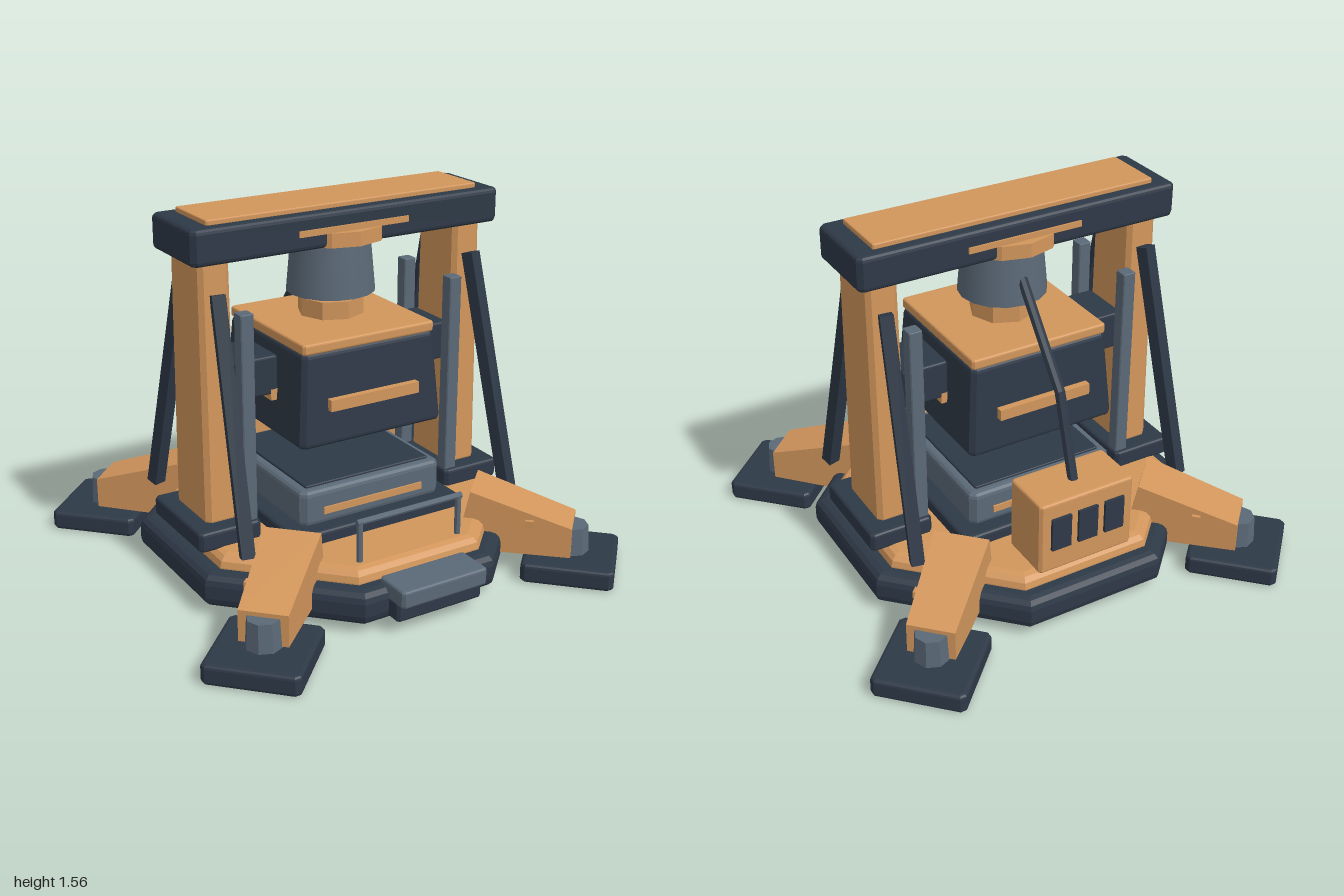
import * as THREE from 'three';

const paint = (name, color) => {
  const m = new THREE.MeshStandardMaterial({ color });
  m.name = name;
  return m;
};

// Block with cut vertical corners and eased top and bottom edges, centred on its own middle
function block(w, h, d, bevel = 0.012, cut = bevel) {
  const x = w / 2 - bevel, y = d / 2 - bevel, c = Math.max(cut - bevel * 0.586, 0.002);
  const pts = [[x, -y + c], [x, y - c], [x - c, y], [-x + c, y], [-x, y - c], [-x, -y + c], [-x + c, -y], [x - c, -y]];
  const shape = new THREE.Shape(pts.map(p => new THREE.Vector2(...p)));
  const g = new THREE.ExtrudeGeometry(shape, {
    depth: h - 2 * bevel, bevelEnabled: true, bevelSize: bevel, bevelThickness: bevel, bevelSegments: 3,
  });
  return g.translate(0, 0, bevel - h / 2).rotateX(-Math.PI / 2);
}

// Narrow a geometry towards its top
function taper(g, h, topX, topZ) {
  const p = g.attributes.position;
  for (let i = 0; i < p.count; i++) {
    const t = p.getY(i) / h + 0.5;
    p.setX(i, p.getX(i) * (1 + (topX - 1) * t));
    p.setZ(i, p.getZ(i) * (1 + (topZ - 1) * t));
  }
  g.computeVertexNormals();
  return g;
}

const drum = (top, bottom, h, sides) => new THREE.CylinderGeometry(top, bottom, h, sides).toNonIndexed();

// Outrigger arm: side profile along +x, wider at the inner end
function outriggerArm() {
  const shape = new THREE.Shape([
    [0.58, 0.09], [1.055, 0.09], [1.055, 0.222], [0.628, 0.355], [0.6, 0.22],
  ].map(p => new THREE.Vector2(...p)));
  const g = new THREE.ExtrudeGeometry(shape, { depth: 1, bevelEnabled: false }).translate(0, 0, -0.5);
  const p = g.attributes.position;
  for (let i = 0; i < p.count; i++) {
    const t = (p.getX(i) - 0.6) / 0.455;
    p.setZ(i, p.getZ(i) * (0.235 - 0.037 * t));
  }
  g.computeVertexNormals();
  return g;
}

export function createModel() {
  const orange = paint('orange paint', 0xd2965c);
  const dark = paint('dark steel', 0x2e3947);
  const gray = paint('gray steel', 0x5b6977);

  const model = new THREE.Group();
  model.name = 'hydraulicPress';

  const add = (name, geo, mat, x, y, z, parent = model) => {
    const m = new THREE.Mesh(geo, mat);
    m.name = name;
    m.position.set(x, y, z);
    parent.add(m);
    return m;
  };
  const facet = (name, geo, mat, x, y, z, parent) => {
    geo.computeVertexNormals();
    return add(name, geo, mat, x, y, z, parent);
  };
  // Straight bar between two points
  const bar = (name, a, b, w, mat, sides = 4) => {
    const A = new THREE.Vector3(...a), B = new THREE.Vector3(...b);
    const dir = B.clone().sub(A);
    const r = sides === 4 ? w / Math.SQRT2 : w / 2;
    const geo = drum(r, r, dir.length(), sides);
    if (sides === 4) geo.rotateY(Math.PI / 4);
    const m = facet(name, geo, mat, ...A.add(B).multiplyScalar(0.5).toArray());
    m.quaternion.setFromUnitVectors(new THREE.Vector3(0, 1, 0), dir.normalize());
  };

  // Octagonal base and deck
  add('base', block(1.54, 0.145, 1.54, 0.045, 0.46), dark, 0, 0.1075, 0);
  add('deck', block(1.38, 0.12, 1.38, 0.05, 0.4), orange, 0, 0.175, 0);

  // Press bed
  add('bedPlate', block(0.81, 0.075, 0.81, 0.015), dark, 0, 0.25, 0);
  add('anvil', block(0.68, 0.16, 0.68, 0.025), gray, 0, 0.36, 0);
  add('anvilTop', block(0.6, 0.02, 0.6, 0.006), dark, 0, 0.44, 0);
  for (const s of [1, -1]) add('anvilStripe', new THREE.BoxGeometry(0.48, 0.03, 0.012), orange, 0, 0.345, s * 0.342);

  // Ram head with a trim stripe on every side
  add('ramHead', taper(block(0.68, 0.39, 0.68, 0.02), 0.39, 0.91, 0.91), dark, 0, 0.82, 0);
  add('ramCap', block(0.62, 0.045, 0.62, 0.01), orange, 0, 1.033, 0);
  for (let i = 0; i < 4; i++) {
    const side = new THREE.Group();
    side.name = 'ramTrim';
    side.rotation.y = i * Math.PI / 2;
    model.add(side);
    add('ramStripe', new THREE.BoxGeometry(i % 2 ? 0.24 : 0.42, 0.048, 0.04), orange, 0, 0.798, 0.334, side);
  }

  // Hydraulic cylinder, rod and collars
  facet('rod', drum(0.08, 0.08, 0.14, 12), gray, 0, 1.11, 0);
  facet('rodNut', drum(0.14, 0.14, 0.075, 8), orange, 0, 1.105, 0);
  add('cylinder', new THREE.CylinderGeometry(0.165, 0.187, 0.24, 16), gray, 0, 1.285, 0);
  facet('cylinderFlange', drum(0.23, 0.23, 0.06, 12), orange, 0, 1.425, 0);

  // Crossbeam
  add('crossbeam', block(1.43, 0.147, 0.37, 0.02), dark, 0, 1.467, 0);
  add('beamTopPlate', block(1.26, 0.025, 0.27, 0.006), orange, 0, 1.549, 0);
  for (const s of [1, -1]) add('beamStripe', new THREE.BoxGeometry(0.51, 0.025, 0.012), orange, 0, 1.467, s * 0.187);

  // Columns, guide rails and braces
  for (const s of [1, -1]) {
    add('columnFoot', block(0.28, 0.085, 0.44, 0.015), dark, s * 0.6, 0.267, 0);
    add('column', taper(block(0.145, 1.1, 0.29, 0.015, 0.02), 1.1, 0.92, 0.9), orange, s * 0.597, 0.85, 0);
    add('guideShoe', block(0.2, 0.165, 0.24, 0.01), dark, s * 0.42, 0.883, 0);
    for (const f of [1, -1]) {
      add('guideRail', block(0.058, 0.9, 0.06, 0.004), gray, s * 0.497, 0.735, f * 0.17);
      bar('brace', [s * 0.6, 1.27, f * 0.155], [s * 0.637, 0.275, f * 0.425], 0.055, dark);
    }
  }

  // Control box with rear vents and hose
  add('controlBox', block(0.44, 0.33, 0.235, 0.012), orange, 0, 0.39, -0.565);
  add('controlPanel', new THREE.BoxGeometry(0.31, 0.034, 0.03), orange, 0, 0.488, -0.45);
  for (const x of [-0.125, 0, 0.125]) add('vent', new THREE.BoxGeometry(0.09, 0.15, 0.03), dark, x, 0.408, -0.68);
  bar('hose', [0, 1.31, -0.13], [0, 0.9, -0.46], 0.044, dark, 8);
  bar('hose', [0, 0.905, -0.457], [0, 0.53, -0.575], 0.044, dark, 8);

  // Front step and handrail
  add('stepTread', block(0.405, 0.075, 0.17, 0.012), gray, 0, 0.165, 0.785);
  add('stepRiser', block(0.405, 0.085, 0.13, 0.012), dark, 0, 0.097, 0.77);
  for (const s of [1, -1]) bar('railPost', [s * 0.237, 0.22, 0.61], [s * 0.237, 0.41, 0.61], 0.026, gray, 8);
  bar('handrail', [-0.25, 0.405, 0.61], [0.25, 0.405, 0.61], 0.026, gray, 8);

  // Four diagonal outriggers; each is built along its own +x
  const armGeo = outriggerArm();
  const padCentre = 0.742 * Math.SQRT2;
  for (let i = 0; i < 4; i++) {
    const leg = new THREE.Group();
    leg.name = 'outrigger';
    leg.rotation.y = Math.PI / 4 + i * Math.PI / 2;
    model.add(leg);
    add('footPad', block(0.385, 0.085, 0.385, 0.016, 0.02), dark, padCentre, 0.0425, 0, leg);
    facet('jack', drum(0.068, 0.075, 0.125, 8), gray, padCentre, 0.142, 0, leg);
    add('arm', armGeo, orange, 0, 0, 0, leg);
    add('armPin', new THREE.BoxGeometry(0.035, 0.03, 0.03), orange, 0.88, 0.235, 0.108, leg);
  }

  return model;
}
